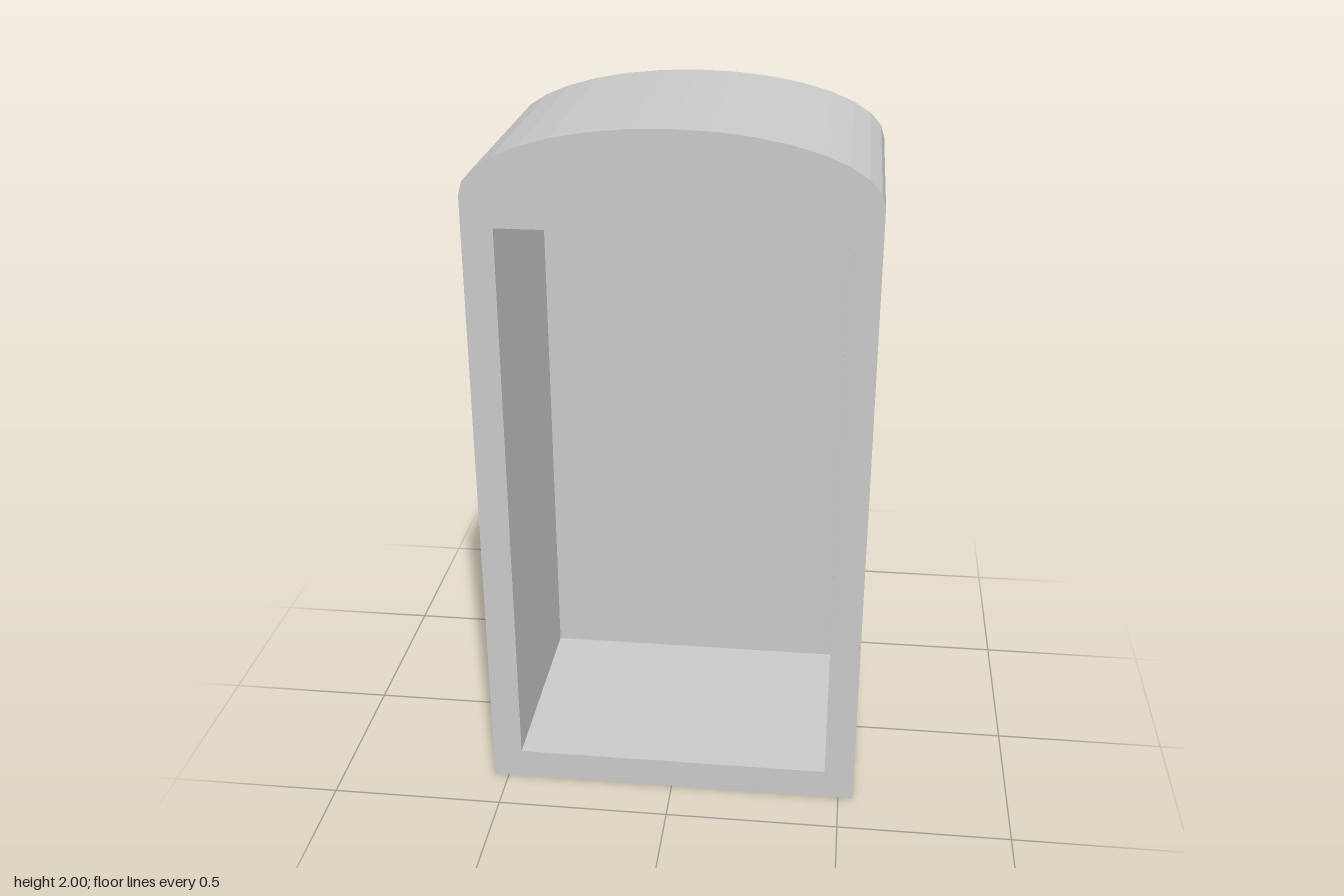
import * as THREE from 'three';

const W = 0.543, FRONT = 0.365, BACK = -0.365;      // half width, depth range
const SPRING = 1.815, TOP = 2;                      // arch start and crown
const IN_W = 0.457, IN_Y0 = 0.09, IN_Y1 = 1.73, IN_BACK = -0.27; // cavity

// Counter-clockwise closed outline: straight sides under an elliptical arch
function archOutline(steps = 16) {
  const pts = [new THREE.Vector2(-W, 0), new THREE.Vector2(W, 0)];
  for (let i = 0; i <= steps; i++) {
    const a = (i / steps) * Math.PI;
    pts.push(new THREE.Vector2(W * Math.cos(a), SPRING + (TOP - SPRING) * Math.sin(a)));
  }
  return pts;
}

// Flat-faced wall swept along z; a counter-clockwise outline faces outwards
function wall(pts, z0, z1) {
  const pos = [];
  pts.forEach((a, i) => {
    const b = pts[(i + 1) % pts.length];
    pos.push(a.x, a.y, z0, b.x, b.y, z0, b.x, b.y, z1);
    pos.push(a.x, a.y, z0, b.x, b.y, z1, a.x, a.y, z1);
  });
  const geo = new THREE.BufferGeometry();
  geo.setAttribute('position', new THREE.Float32BufferAttribute(pos, 3));
  geo.computeVertexNormals();
  return geo;
}

export function createModel() {
  const group = new THREE.Group();
  group.name = 'archedCabinet';
  const material = new THREE.MeshStandardMaterial({ color: 0xcccccc, flatShading: true });
  const add = (name, geo) => {
    const mesh = new THREE.Mesh(geo, material);
    mesh.name = name;
    group.add(mesh);
  };

  const outer = archOutline();
  const inner = [[-IN_W, IN_Y0], [IN_W, IN_Y0], [IN_W, IN_Y1], [-IN_W, IN_Y1]]
    .map(([x, y]) => new THREE.Vector2(x, y));

  // Outside: base, sides and arched roof, then the closed back
  add('outerShell', wall(outer, BACK, FRONT));
  add('backPanel', new THREE.ShapeGeometry(new THREE.Shape(outer)).rotateY(Math.PI).translate(0, 0, BACK));

  // Front rim around the rectangular opening
  const rim = new THREE.Shape(outer);
  rim.holes.push(new THREE.Path(inner));
  add('frontRim', new THREE.ShapeGeometry(rim).translate(0, 0, FRONT));

  // Cavity: inward-facing walls and rear face
  add('cavityWalls', wall([...inner].reverse(), IN_BACK, FRONT));
  add('cavityBack', new THREE.ShapeGeometry(new THREE.Shape(inner)).translate(0, 0, IN_BACK));

  return group;
}
